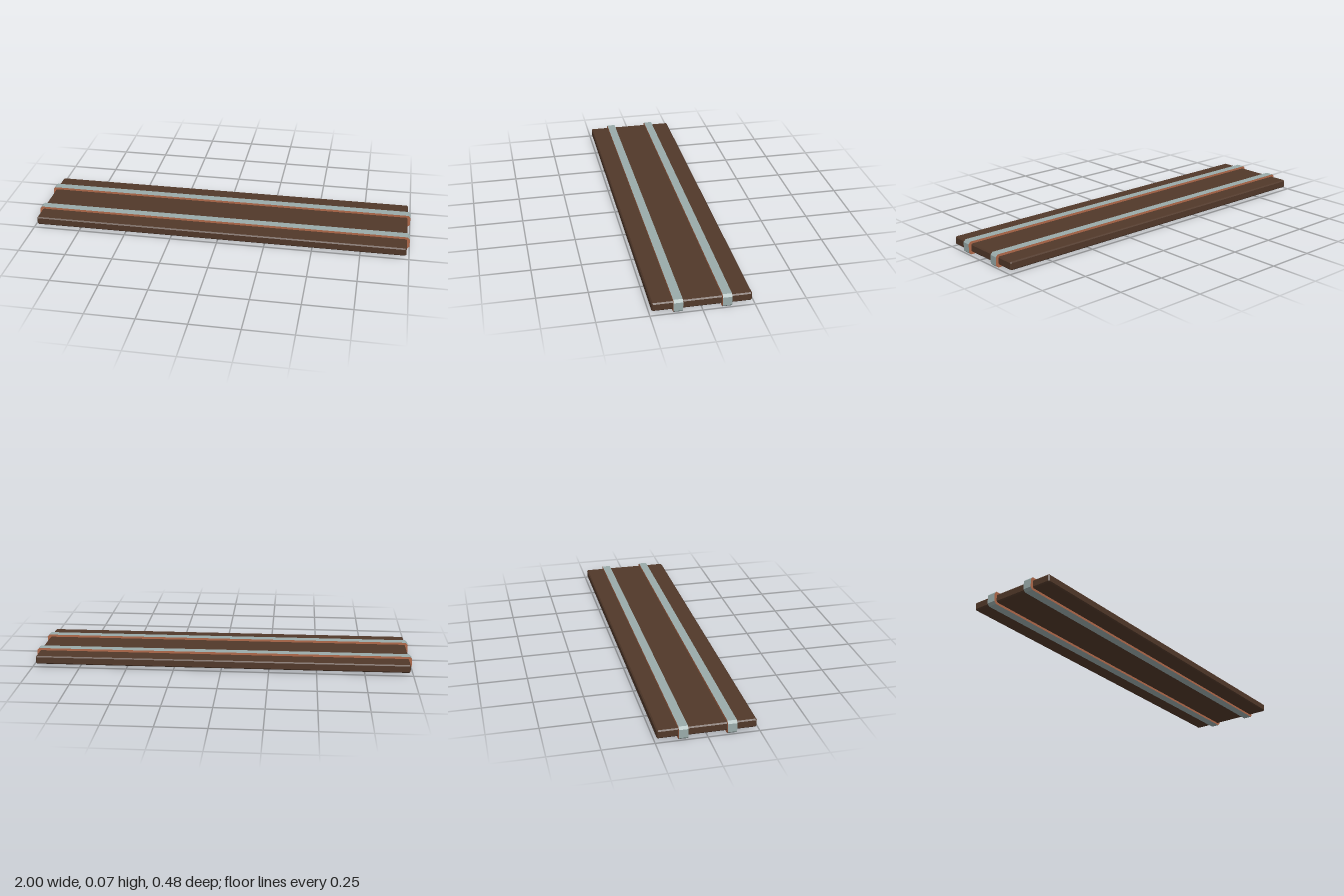
import * as THREE from 'three';
import { ConvexGeometry } from 'three/addons/geometries/ConvexGeometry.js';

const mat = (color) => new THREE.MeshStandardMaterial({ color, flatShading: true });

// Box with every edge and corner cut by c
function chamferedBox(hx, hy, hz, c) {
  const pts = [];
  for (const x of [-1, 1]) for (const y of [-1, 1]) for (const z of [-1, 1]) {
    pts.push(
      new THREE.Vector3(x * hx, y * (hy - c), z * (hz - c)),
      new THREE.Vector3(x * (hx - c), y * hy, z * (hz - c)),
      new THREE.Vector3(x * (hx - c), y * (hy - c), z * hz));
  }
  return new ConvexGeometry(pts);
}

// Corner points of a rectangle with cut corners
function cutRect(hx, hy, c) {
  return [
    [hx, -hy + c], [hx, hy - c], [hx - c, hy], [-hx + c, hy],
    [-hx, hy - c], [-hx, -hy + c], [-hx + c, -hy], [hx - c, -hy],
  ].map(([x, y]) => new THREE.Vector2(x, y));
}

export function createModel() {
  const group = new THREE.Group();
  const wood = mat(0x513829);
  const metal = mat(0x9aabaa);
  const copper = mat(0xb0694a);
  const midY = 0.0335;

  // Wooden board
  const plank = new THREE.Mesh(chamferedBox(0.985, 0.0215, 0.239, 0.006), wood);
  plank.name = 'plank';
  plank.position.y = midY;
  group.add(plank);

  // Two metal bands wrapped lengthwise, with copper edges
  const loop = new THREE.Shape(cutRect(1, 0.0335, 0.012));
  loop.holes.push(new THREE.Path(cutRect(0.982, 0.0185, 0.006)));
  const width = 0.045;
  const bandGeometry = new THREE.ExtrudeGeometry(loop, { depth: width, bevelEnabled: false });
  bandGeometry.translate(0, 0, -width / 2);
  for (const [name, z] of [['frontBand', 0.1165], ['backBand', -0.1165]]) {
    const band = new THREE.Mesh(bandGeometry, [copper, metal]);
    band.name = name;
    band.position.set(0, midY, z);
    group.add(band);
  }
  return group;
}
